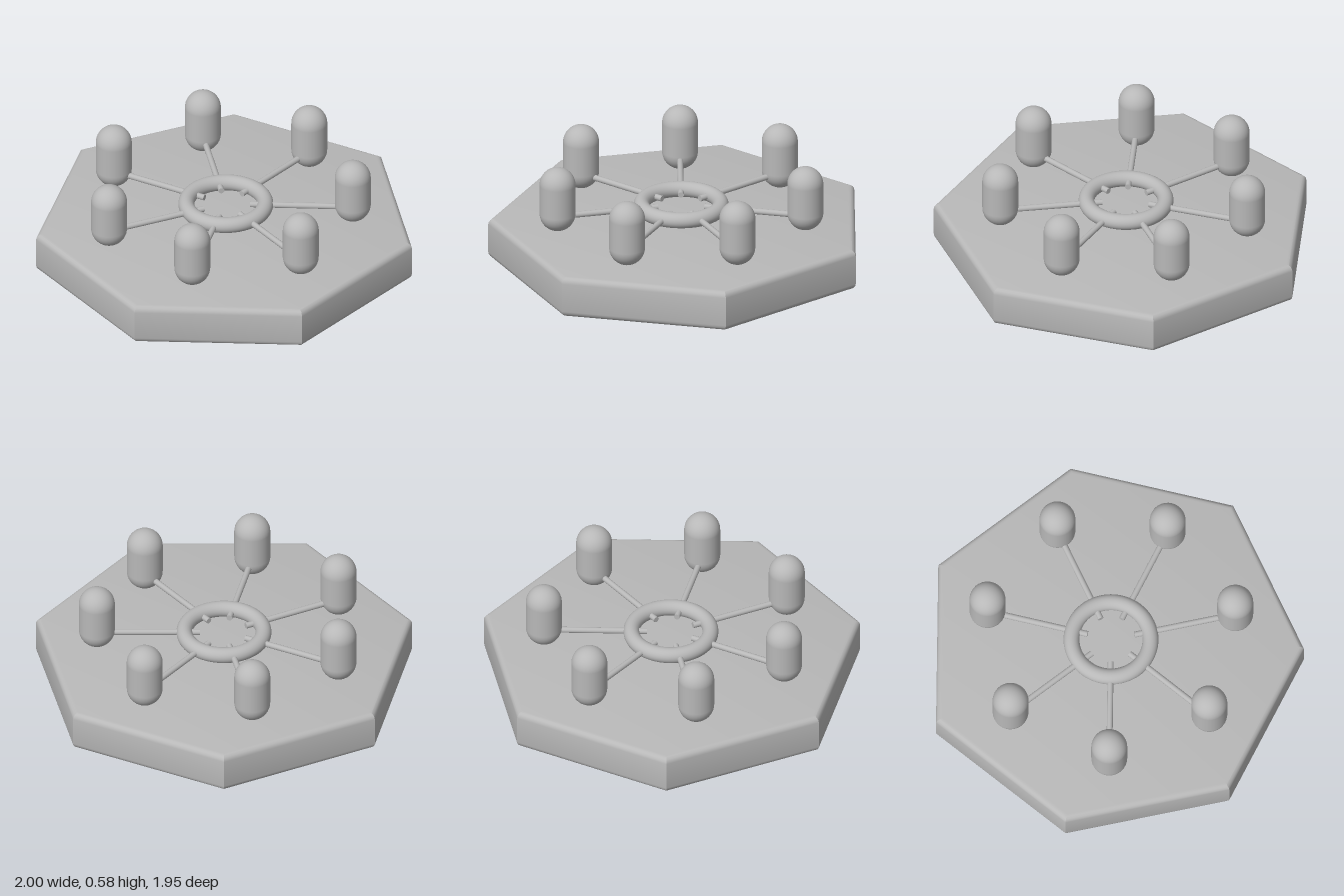
import * as THREE from 'three';
import { toCreasedNormals } from 'three/addons/utils/BufferGeometryUtils.js';

const SIDES = 7;
const CENTER_Z = 0.047;
const BASE_RADIUS = 1.025, BASE_HEIGHT = 0.225, BEVEL = 0.033;
const HUB_Y = 0.302;
const POST_DISTANCE = 0.675, POST_RADIUS = 0.096, POST_HEIGHT = 0.355;
const SPOKE_START = 0.128, SPOKE_RADIUS = 0.016;

export function createModel() {
  const model = new THREE.Group();
  model.name = 'heptagonSpokeModel';
  const grey = new THREE.MeshStandardMaterial({ color: 0xb8b8b8 });
  grey.name = 'grey';

  const add = (name, geometry, parent) => {
    const mesh = new THREE.Mesh(geometry, grey);
    mesh.name = name;
    parent.add(mesh);
    return mesh;
  };

  // Everything is arranged around one vertical axis
  const wheel = new THREE.Group();
  wheel.name = 'wheel';
  wheel.position.z = CENTER_Z;
  model.add(wheel);

  // Seven-sided slab with rounded top and bottom edges
  const profile = [new THREE.Vector2(0, 0)];
  for (const [y, start] of [[BEVEL, -Math.PI / 2], [BASE_HEIGHT - BEVEL, 0]]) {
    for (let i = 0; i <= 4; i++) {
      const a = start + (i / 4) * (Math.PI / 2);
      profile.push(new THREE.Vector2(
        BASE_RADIUS - (BEVEL * (1 - Math.cos(a))) / Math.cos(Math.PI / SIDES),
        y + BEVEL * Math.sin(a)));
    }
  }
  profile.push(new THREE.Vector2(0, BASE_HEIGHT));
  const slab = new THREE.LatheGeometry(profile, SIDES, Math.PI);
  add('base', toCreasedNormals(slab, 0.45), wheel);

  // Central ring
  const ring = add('hubRing', new THREE.TorusGeometry(0.21, 0.0425, 24, 64), wheel);
  ring.rotation.x = Math.PI / 2;
  ring.position.y = HUB_Y;

  // Capsule posts, each joined to the ring by a spoke
  const postGeometry = new THREE.CapsuleGeometry(POST_RADIUS, POST_HEIGHT - 2 * POST_RADIUS, 12, 32);
  const spokeLength = POST_DISTANCE - SPOKE_START;
  const spokeGeometry = new THREE.CylinderGeometry(SPOKE_RADIUS, SPOKE_RADIUS, spokeLength, 16);
  spokeGeometry.rotateZ(Math.PI / 2);

  for (let i = 0; i < SIDES; i++) {
    const arm = new THREE.Group();
    arm.name = `arm${i + 1}`;
    arm.rotation.y = (i / SIDES) * Math.PI * 2;
    wheel.add(arm);
    add('post', postGeometry, arm).position.set(POST_DISTANCE, BASE_HEIGHT + POST_HEIGHT / 2, 0);
    add('spoke', spokeGeometry, arm).position.set(SPOKE_START + spokeLength / 2, HUB_Y, 0);
  }

  return model;
}
